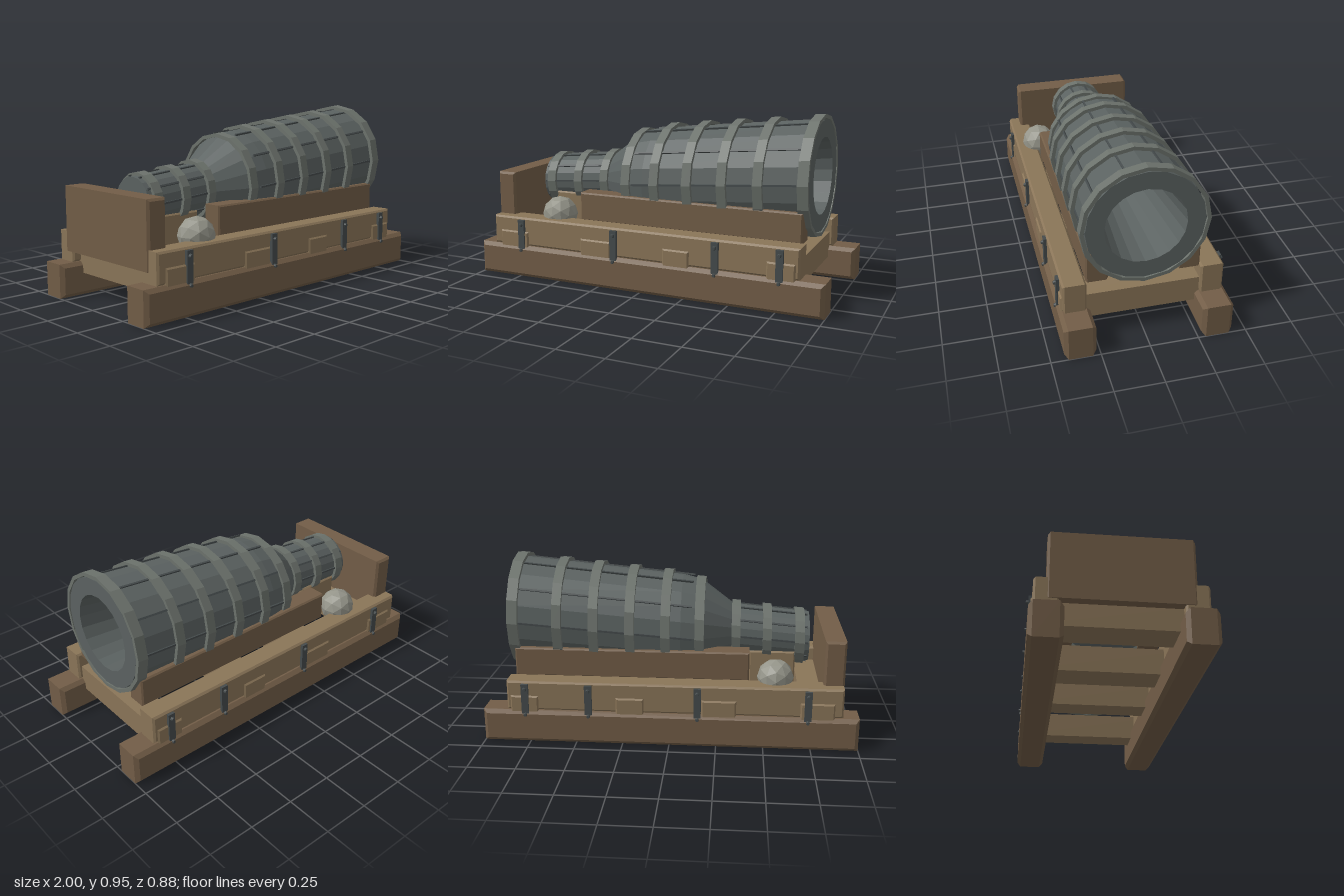
import * as THREE from 'three';

const mat = (color) => new THREE.MeshStandardMaterial({ color, flatShading: true });
const wood = mat(0x8a7558), darkWood = mat(0x725d47);
const iron = mat(0x5b6261), hoopIron = mat(0x6c726c), darkIron = mat(0x454b4c), stone = mat(0x95958a);

// Barrel axis rises towards the muzzle: y = 0.562 + 0.08 x
const rise = new THREE.Matrix4().set(1, 0, 0, 0, 0.08, 1, 0, 0.562, 0, 0, 1, 0, 0, 0, 0, 1);

export function createModel() {
  const root = new THREE.Group();

  const add = (name, geometry, material, parent = root) => {
    const mesh = new THREE.Mesh(geometry, material);
    mesh.name = name;
    parent.add(mesh);
    return mesh;
  };

  // Chamfered timber given by its bounds
  const timber = (name, [x0, x1], [y0, y1], [z0, z1], material, b = 0.015) => {
    const w = (x1 - x0) / 2 - b, h = (y1 - y0) / 2 - b, d = z1 - z0 - 2 * b;
    const s = new THREE.Shape();
    s.moveTo(-w, -h); s.lineTo(w, -h); s.lineTo(w, h); s.lineTo(-w, h); s.closePath();
    const g = new THREE.ExtrudeGeometry(s, {
      depth: d, bevelEnabled: true, bevelSize: b, bevelThickness: b, bevelSegments: 1,
    });
    g.translate((x0 + x1) / 2, (y0 + y1) / 2, (z0 + z1) / 2 - d / 2);
    return add(name, g, material);
  };

  // Side timbers, straps and stone balls, mirrored in z
  for (const side of [1, -1]) {
    const span = (a, b) => (side > 0 ? [a, b] : [-b, -a]);
    timber('baseBeam', [-1, 1], [0, 0.18], span(0.27, 0.43), darkWood, 0.02);
    timber('upperRail', [-0.915, 0.87], [0.18, 0.34], span(0.29, 0.41), wood, 0.01);
    timber('barrelChock', [-0.42, 0.845], [0.33, 0.488], span(0.178, 0.29), darkWood, 0.008);

    for (const x of [-0.73, -0.15, 0.43, 0.77]) {
      const strap = new THREE.Group();
      strap.name = 'ironStrap';
      strap.position.set(x, 0, side * 0.418);
      root.add(strap);
      add('strapPlate', new THREE.BoxGeometry(0.038, 0.175, 0.016), darkIron, strap).position.y = 0.24;
      for (const y of [0.157, 0.3]) {
        const bolt = new THREE.CylinderGeometry(0.008, 0.014, 0.02, 8).rotateX(side * Math.PI / 2);
        add('bolt', bolt, darkIron, strap).position.set(0, y, side * 0.01);
      }
    }

    const ball = add('stoneBall', new THREE.IcosahedronGeometry(0.098, 1), stone);
    ball.position.set(-0.56, 0.355, side * 0.275);
  }

  // Cross beams with ends showing through the rails
  for (const [x0, x1] of [[-0.87, -0.69], [-0.355, -0.17], [0.135, 0.285], [0.7, 0.85]]) {
    timber('crossBeam', [x0, x1], [0.12, 0.26], [-0.418, 0.418], wood, 0.008);
  }
  timber('backBoard', [-0.92, -0.81], [0.235, 0.58], [-0.35, 0.35], darkWood, 0.012);
  timber('breechBlock', [-0.67, -0.42], [0.26, 0.447], [-0.13, 0.13], wood, 0.008);

  // Barrel
  const barrel = new THREE.Group();
  barrel.name = 'barrel';
  root.add(barrel);
  const turned = (points, sides) =>
    new THREE.LatheGeometry(points.map(([r, s]) => new THREE.Vector2(r, s)), sides)
      .rotateZ(-Math.PI / 2).applyMatrix4(rise);

  add('barrelBody', turned([
    [0, -0.745], [0.138, -0.745], [0.143, -0.33], [0.262, -0.15], [0.278, -0.05],
    [0.297, 0.87], [0.205, 0.87], [0.085, -0.6], [0, -0.6],
  ], 20), iron, barrel);

  // Hoops: position along the barrel, outer radius, width
  const hoops = [
    [-0.692, 0.156, 0.052], [-0.515, 0.161, 0.048], [-0.345, 0.165, 0.048],
    [-0.15, 0.281, 0.05], [0.03, 0.305, 0.05], [0.22, 0.31, 0.05],
    [0.415, 0.314, 0.05], [0.61, 0.317, 0.05], [0.845, 0.323, 0.056],
  ];
  for (const [x, r, w] of hoops) {
    const a = x - w / 2, b = x + w / 2, q = r - 0.02;
    add('hoop', turned([[q, a], [r, a], [r, b], [q, b], [q, a]], 16), hoopIron, barrel);
  }

  // Thin stave strips along the barrel
  const strips = (x0, x1, r0, r1) => {
    for (let i = 0; i < 10; i++) {
      const g = new THREE.BoxGeometry(x1 - x0, 0.01, 0.01);
      g.rotateZ(Math.atan2(r1 - r0, x1 - x0));
      g.translate((x0 + x1) / 2, (r0 + r1) / 2, 0);
      g.rotateX(Math.PI / 2 + i * Math.PI / 5).applyMatrix4(rise);
      add('staveStrip', g, darkIron, barrel);
    }
  };
  strips(-0.11, 0.86, 0.281, 0.298);
  strips(-0.735, -0.35, 0.14, 0.144);

  return root;
}
